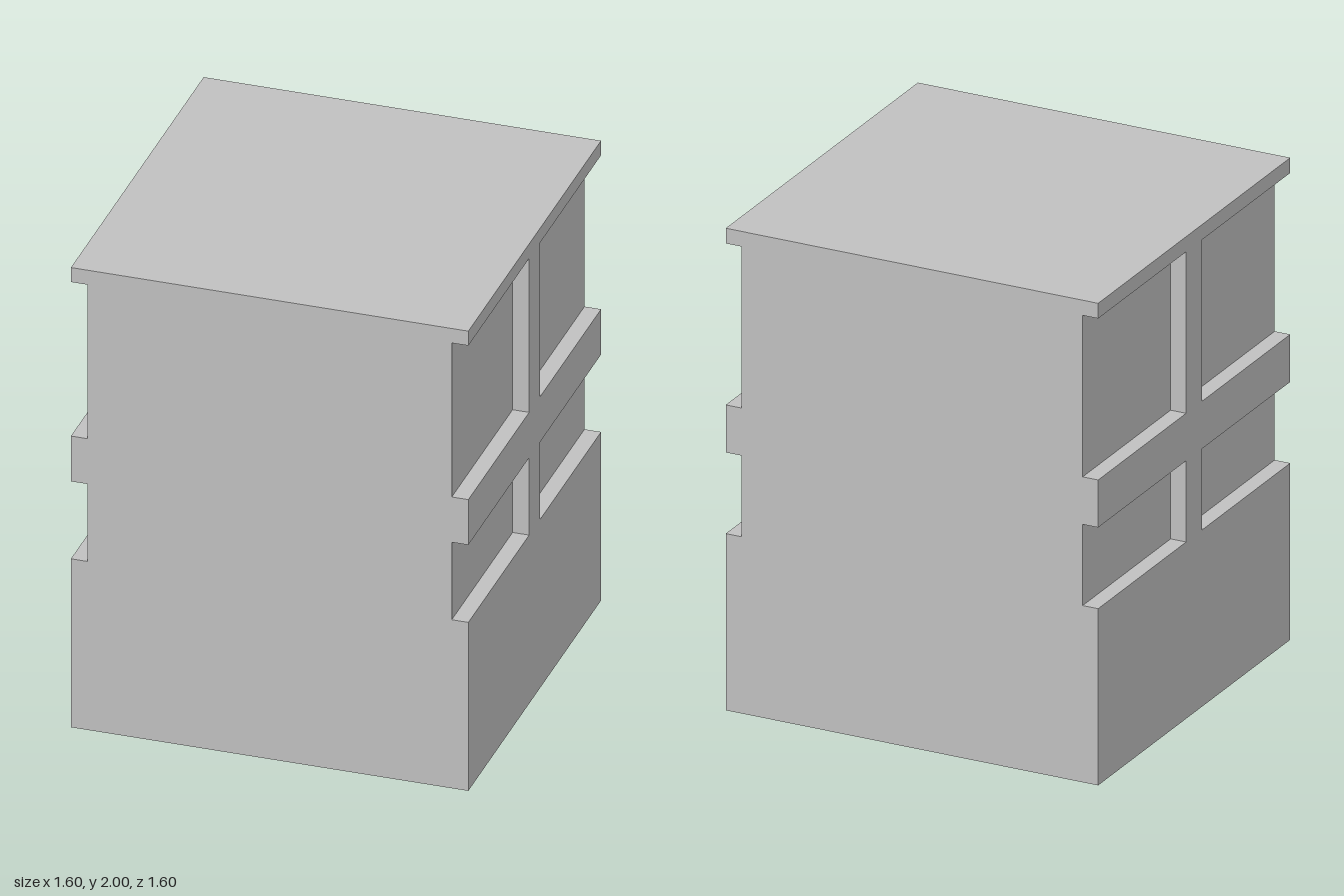
import * as THREE from 'three';

const HALF = 0.8;       // half width and depth
const HEIGHT = 2;
const RECESS = 0.0667;  // depth of the side recesses
const POST = 0.0667;    // half width of the centre post
const openings = [[0.733, 1.07], [1.267, 1.937]]; // bottom and top of each recess row

// Side outline: a slab notched from both edges, leaving a centre post and rails
function sideOutline() {
  const shape = new THREE.Shape();
  shape.moveTo(-HALF, 0);
  shape.lineTo(HALF, 0);
  for (const [low, high] of openings) {
    shape.lineTo(HALF, low);
    shape.lineTo(POST, low);
    shape.lineTo(POST, high);
    shape.lineTo(HALF, high);
  }
  shape.lineTo(HALF, HEIGHT);
  shape.lineTo(-HALF, HEIGHT);
  for (const [low, high] of [...openings].reverse()) {
    shape.lineTo(-HALF, high);
    shape.lineTo(-POST, high);
    shape.lineTo(-POST, low);
    shape.lineTo(-HALF, low);
  }
  shape.closePath();
  return shape;
}

export function createModel() {
  const group = new THREE.Group();
  group.name = 'recessedBlock';
  const grey = new THREE.MeshStandardMaterial({ color: 0xc0c0c0 });
  grey.name = 'light grey';

  // Solid core, whose sides form the recess floors
  const inner = HALF - RECESS;
  const core = new THREE.Mesh(new THREE.BoxGeometry(inner * 2, HEIGHT, HALF * 2), grey);
  core.name = 'core';
  core.position.y = HEIGHT / 2;
  group.add(core);

  // Raised frames on the left and right sides
  const frame = new THREE.ExtrudeGeometry(sideOutline(), { depth: RECESS, bevelEnabled: false });
  for (const side of [1, -1]) {
    const mesh = new THREE.Mesh(frame, grey);
    mesh.name = side > 0 ? 'leftSideFrame' : 'rightSideFrame';
    mesh.rotation.y = side * Math.PI / 2;
    mesh.position.x = side * inner;
    group.add(mesh);
  }
  return group;
}
